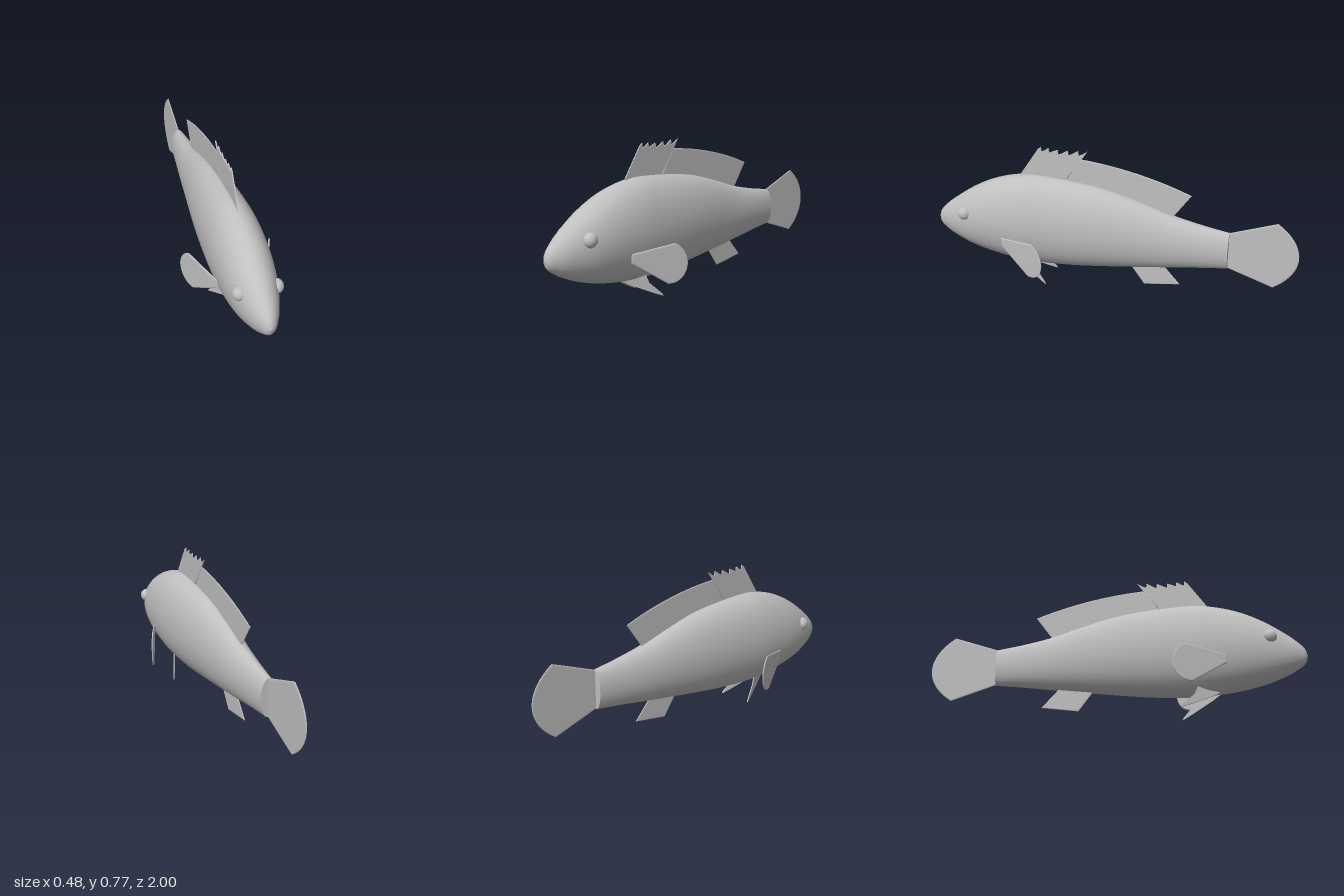
import * as THREE from 'three';

const grey = new THREE.MeshStandardMaterial({ color: 0xc0c0c0 });
grey.name = 'grey';

// Body stations from nose to tail root: z, top y, bottom y, half width
const stations = [
  [1, 0.29, 0.29, 0], [0.985, 0.332, 0.25, 0.027], [0.95, 0.37, 0.222, 0.05],
  [0.9, 0.412, 0.193, 0.074], [0.8, 0.482, 0.152, 0.106], [0.7, 0.537, 0.125, 0.125],
  [0.6, 0.575, 0.107, 0.134], [0.5, 0.598, 0.096, 0.138], [0.4, 0.607, 0.09, 0.137],
  [0.2, 0.594, 0.099, 0.128], [0, 0.565, 0.12, 0.112], [-0.2, 0.508, 0.145, 0.09],
  [-0.34, 0.463, 0.163, 0.075], [-0.5, 0.428, 0.184, 0.057], [-0.64, 0.405, 0.2, 0.042],
];

// Smooth skin of elliptical rings
function bodyGeometry(rings = 70, sides = 40) {
  const upper = new THREE.CatmullRomCurve3(stations.map(([z, t, , w]) => new THREE.Vector3(w, t, z)), false, 'catmullrom');
  const lower = new THREE.CatmullRomCurve3(stations.map(([z, , b, w]) => new THREE.Vector3(w, b, z)), false, 'catmullrom');
  const pos = [], idx = [];
  for (let i = 0; i <= rings; i++) {
    const u = upper.getPoint(i / rings), l = lower.getPoint(i / rings);
    for (let j = 0; j < sides; j++) {
      const a = (j / sides) * Math.PI * 2;
      pos.push(u.x * Math.cos(a), (u.y + l.y) / 2 + ((u.y - l.y) / 2) * Math.sin(a), u.z);
      if (i === rings) continue;
      const k = (j + 1) % sides, p = i * sides, q = p + sides;
      idx.push(p + j, q + j, p + k, q + j, q + k, p + k);
    }
  }
  const g = new THREE.BufferGeometry();
  g.setAttribute('position', new THREE.Float32BufferAttribute(pos, 3));
  g.setIndex(idx);
  g.computeVertexNormals();
  return g;
}

// Thin fin: outline drawn in (z, y), leaning sideways as x = x0 + lean * (z0 - z)
function finGeometry(shape, thick, bevel, x0 = 0, lean = 0, z0 = 0) {
  const core = bevel ? thick * 0.4 : thick;
  const g = new THREE.ExtrudeGeometry(shape, {
    depth: core, curveSegments: 12, bevelEnabled: bevel > 0,
    bevelThickness: (thick - core) / 2, bevelSize: bevel, bevelOffset: -bevel, bevelSegments: 2,
  });
  g.translate(0, 0, -core / 2);
  return g.applyMatrix4(new THREE.Matrix4().set(
    -lean, 0, -1, x0 + lean * z0,
    0, 1, 0, 0,
    1, 0, 0, 0,
    0, 0, 0, 1));
}

export function createModel() {
  const fish = new THREE.Group();
  fish.name = 'fish';
  const add = (name, geometry) => {
    const m = new THREE.Mesh(geometry, grey);
    m.name = name;
    fish.add(m);
    return m;
  };

  add('body', bodyGeometry());
  const cap = add('tailRootCap', new THREE.CircleGeometry(1, 40));
  cap.rotation.y = Math.PI;
  cap.scale.set(0.042, 0.1025, 1);
  cap.position.set(0, 0.3025, -0.64);

  // Tail fin with a rounded trailing edge
  const tail = new THREE.Shape();
  tail.moveTo(-0.62, 0.4);
  tail.lineTo(-0.64, 0.405);
  tail.lineTo(-0.88, 0.49);
  tail.bezierCurveTo(-0.96, 0.435, -1, 0.37, -1, 0.305);
  tail.bezierCurveTo(-1, 0.24, -0.96, 0.175, -0.88, 0.123);
  tail.lineTo(-0.64, 0.203);
  tail.lineTo(-0.62, 0.21);
  add('tailFin', finGeometry(tail, 0.007, 0.01));

  // Spiny front dorsal fin: a row of swept points
  const spiny = new THREE.Shape();
  spiny.moveTo(0.505, 0.585);
  spiny.lineTo(0.5, 0.6);
  const peaks = [[0.378, 0.77], [0.335, 0.768], [0.285, 0.762], [0.228, 0.764], [0.172, 0.768], [0.12, 0.77]];
  spiny.lineTo(0.395, 0.755);
  peaks.forEach(([z, y], i) => {
    spiny.lineTo(z, y);
    if (i < peaks.length - 1) spiny.lineTo(z - 0.004, y - 0.026).lineTo(z - 0.022, y - 0.018);
  });
  spiny.lineTo(0.158, 0.715);
  spiny.lineTo(0.25, 0.59);
  spiny.lineTo(0.26, 0.56);
  add('spinyDorsalFin', finGeometry(spiny, 0.006, 0));

  // Long soft dorsal fin, its base sunk into the back
  const soft = new THREE.Shape();
  soft.moveTo(0.26, 0.57);
  soft.lineTo(0.155, 0.722);
  soft.bezierCurveTo(-0.03, 0.708, -0.24, 0.665, -0.435, 0.587);
  soft.lineTo(-0.345, 0.461);
  soft.lineTo(-0.33, 0.44);
  soft.quadraticCurveTo(-0.05, 0.54, 0.26, 0.57);
  add('softDorsalFin', finGeometry(soft, 0.006, 0.008));

  // Anal fin
  const anal = new THREE.Shape();
  anal.moveTo(-0.1, 0.165);
  anal.lineTo(-0.195, 0.035);
  anal.lineTo(-0.39, 0.062);
  anal.lineTo(-0.28, 0.185);
  add('analFin', finGeometry(anal, 0.006, 0.008));

  // Paired fins and eyes
  const pectoral = new THREE.Shape();
  pectoral.moveTo(0.58, 0.265);
  pectoral.lineTo(0.37, 0.297);
  pectoral.bezierCurveTo(0.33, 0.275, 0.308, 0.23, 0.308, 0.19);
  pectoral.bezierCurveTo(0.312, 0.13, 0.35, 0.09, 0.405, 0.096);
  pectoral.lineTo(0.58, 0.22);

  const pelvic = new THREE.Shape();
  pelvic.moveTo(0.54, 0.1);
  pelvic.lineTo(0.43, 0.13);
  pelvic.lineTo(0.41, 0.078);
  pelvic.lineTo(0.345, 0.013);
  pelvic.lineTo(0.34, 0);
  pelvic.lineTo(0.39, 0.022);
  pelvic.lineTo(0.5, 0.076);

  for (const [side, s] of [['left', 1], ['right', -1]]) {
    add(side + 'PectoralFin', finGeometry(pectoral, 0.009, 0.008, s * 0.125, s * 0.42, 0.58));
    add(side + 'PelvicFin', finGeometry(pelvic, 0.006, 0, s * 0.02, s * 0.42, 0.53));
    const eye = add(side + 'Eye', new THREE.SphereGeometry(0.037, 24, 16));
    eye.position.set(s * 0.091, 0.369, 0.805);
    eye.scale.x = 0.92;
  }
  return fish;
}
